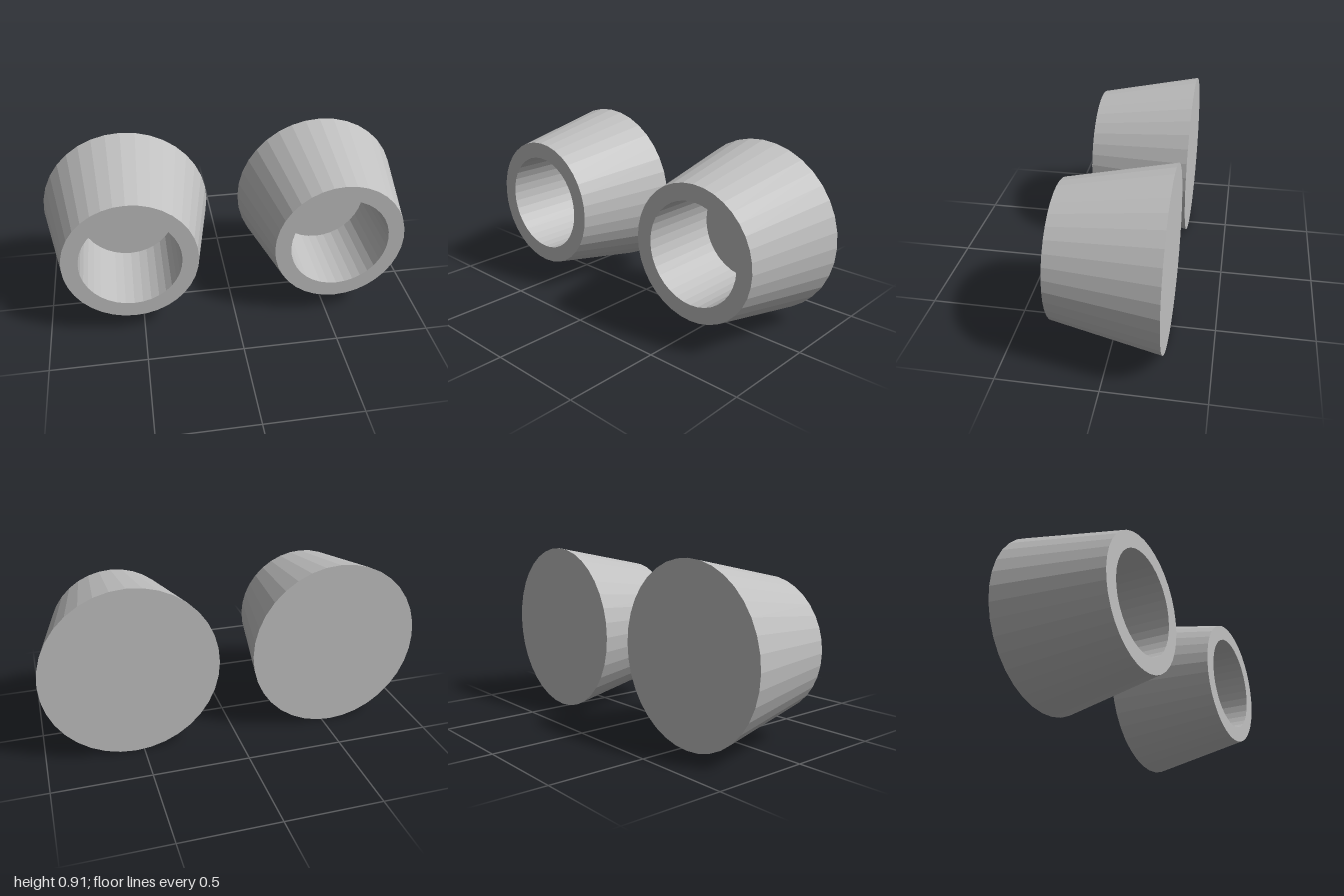
import * as THREE from 'three';

export function createModel() {
  const model = new THREE.Group();
  model.name = 'cupPair';

  const grey = new THREE.MeshStandardMaterial({ color: 0xc0c0c0, flatShading: true });
  grey.name = 'grey';

  // Half section: closed back, tapered wall, flat rim, straight blind bore
  const section = [
    [0, -0.272], [0.455, -0.272], [0.347, 0.272],
    [0.262, 0.272], [0.262, -0.168], [0, -0.168],
  ].map(([r, y]) => new THREE.Vector2(r, y));

  // Turn the lathe axis so the bore opens towards +z
  const cupGeometry = new THREE.LatheGeometry(section, 36).rotateX(Math.PI / 2);

  // Mirrored pair of tapered cups
  for (const side of [-1, 1]) {
    const cup = new THREE.Mesh(cupGeometry, grey);
    cup.name = side > 0 ? 'leftCup' : 'rightCup';
    cup.position.set(side * 0.545, 0.455, 0);
    model.add(cup);
  }
  return model;
}
